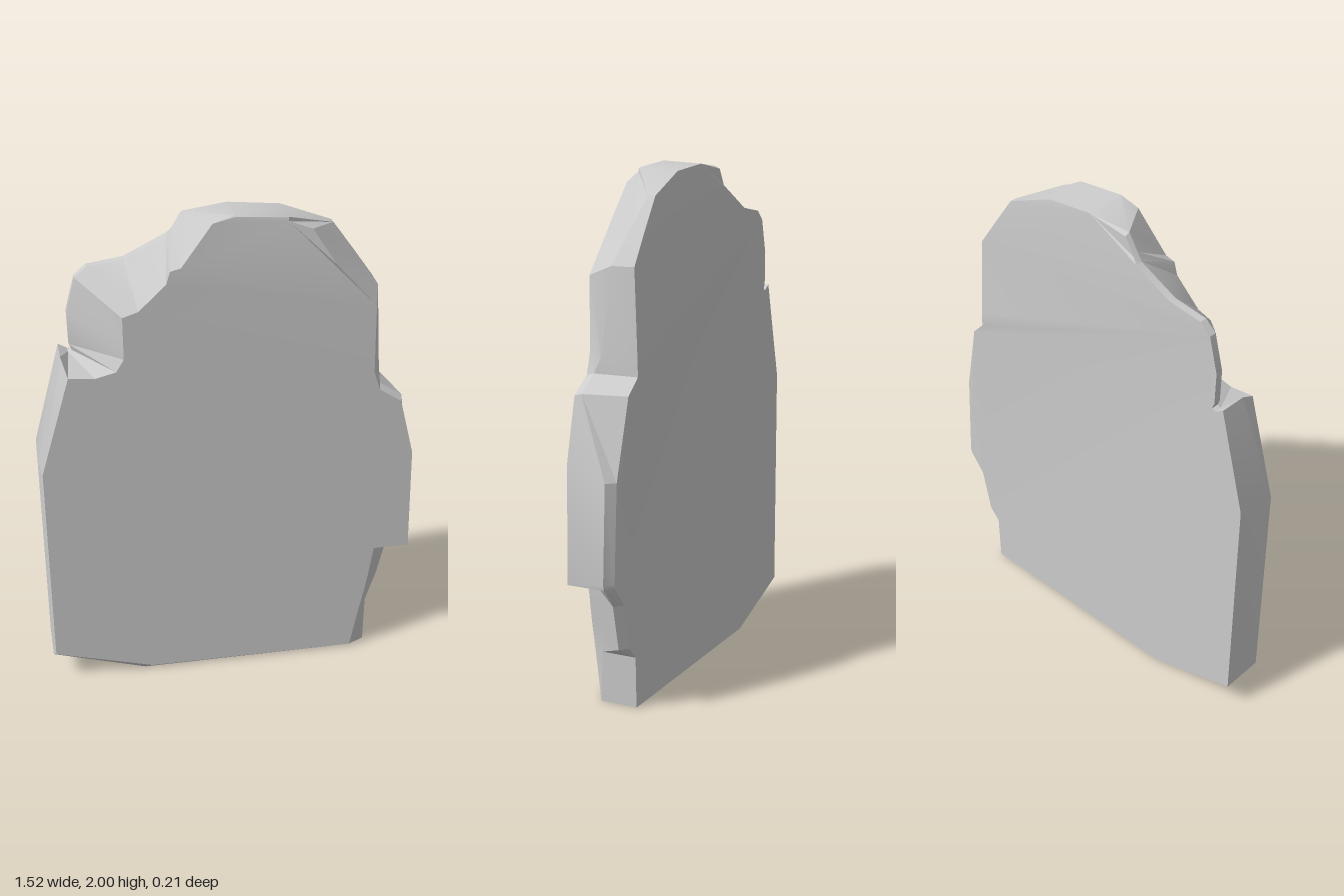
import * as THREE from 'three';
import { toCreasedNormals } from 'three/addons/utils/BufferGeometryUtils.js';

// Rim stations, counter-clockwise from the lower right: front edge x, y, outer rim x, y,
// and the z at which the slope from the front edge meets the outer rim.
const RIM = [
  [0.50, 0.01, 0.57, 0, 0.06],
  [0.535, 0.2, 0.575, 0.2, 0.05],
  // broken step and bulge on the right
  [0.555, 0.3, 0.65, 0.25],
  [0.565, 0.36, 0.69, 0.43],
  [0.585, 0.5, 0.755, 0.51],
  [0.73, 0.5, 0.76, 0.53],
  [0.72, 0.95, 0.74, 0.9],
  [0.66, 1.19, 0.67, 1.2, 0.07],
  [0.57, 1.25, 0.58, 1.26, 0.07],
  [0.545, 1.33, 0.58, 1.32, 0.04],
  // right shoulder
  [0.54, 1.61, 0.57, 1.65, 0],
  [0.38, 1.79, 0.49, 1.765, -0.03],
  [0.29, 1.93, 0.40, 1.89],
  // crest
  [0.2, 1.965, 0.2, 1.98, 0.08],
  [0, 1.995, 0, 2, 0.08],
  [-0.08, 1.975, -0.17, 1.975],
  [-0.2, 1.82, -0.21, 1.91],
  [-0.24, 1.81, -0.23, 1.88],
  [-0.255, 1.76, -0.39, 1.80],
  // chipped block on the left
  [-0.36, 1.66, -0.53, 1.78],
  [-0.42, 1.64, -0.575, 1.74],
  [-0.42, 1.56, -0.612, 1.6],
  [-0.42, 1.47, -0.61, 1.47],
  // notch, left shoulder and foot
  [-0.45, 1.42, -0.60, 1.445],
  [-0.53, 1.40, -0.615, 1.44],
  [-0.63, 1.41, -0.65, 1.46, 0.02],
  [-0.75, 1.0, -0.76, 1.05, 0.08],
  [-0.75, 0.13, -0.76, 0.12, 0.09],
  [-0.35, 0.015, -0.38, 0, 0.09],
];
// Stations where the crown meets the body
const CROWN_START = 10;
const CROWN_END = 20;

// The front leans back towards the crest
const frontPoint = ([x, y]) => [x, y, y > 1.9 ? 0.085 : 0.105];

const rimPoint = ([, , x, y, z = -0.06]) => [x, y, z];

// The back draws in behind the bulge and swells beside the right shoulder
function backPoint([, , x, y]) {
  const swell = 0.02 * Math.exp(-(((x - 0.58) / 0.15) ** 2) - ((y - 1.25) / 0.3) ** 2);
  return [x > 0.6 ? x - 0.03 : x, y > 1.9 ? y - 0.01 : y, (y > 1.9 ? -0.08 : -0.09) - swell];
}

function slabGeometry() {
  const n = RIM.length;
  const points = [frontPoint, rimPoint, backPoint].flatMap((place) => RIM.map(place));
  const index = [];
  const id = (ring, i) => ring * n + (i % n);

  // rim: front edge to outer rim to back edge
  for (let ring = 0; ring < 2; ring++) {
    for (let i = 0; i < n; i++) {
      const a = id(ring, i), b = id(ring, i + 1);
      const c = id(ring + 1, i), d = id(ring + 1, i + 1);
      index.push(a, c, b, b, c, d);
    }
  }

  // broad faces, split so the crown can lean back
  const cap = (ring, from, to) => {
    const ids = [];
    for (let i = from; i <= to; i++) ids.push(id(ring, i));
    const outline = ids.map((k) => new THREE.Vector2(points[k][0], points[k][1]));
    for (const [a, b, c] of THREE.ShapeUtils.triangulateShape(outline, [])) {
      const counterClockwise = THREE.ShapeUtils.area([outline[a], outline[b], outline[c]]) > 0;
      if (counterClockwise === (ring === 0)) index.push(ids[a], ids[b], ids[c]);
      else index.push(ids[a], ids[c], ids[b]);
    }
  };
  for (const ring of [0, 2]) {
    cap(ring, CROWN_START, CROWN_END);
    cap(ring, CROWN_END, CROWN_START + n);
  }

  const geometry = new THREE.BufferGeometry();
  geometry.setAttribute('position', new THREE.Float32BufferAttribute(points.flat(), 3));
  geometry.setIndex(index);
  return toCreasedNormals(geometry, 0.35);
}

export function createModel() {
  const group = new THREE.Group();
  group.name = 'stoneSlab';
  const slab = new THREE.Mesh(slabGeometry(), new THREE.MeshStandardMaterial({ color: 0xcccccc }));
  slab.name = 'brokenStone';
  group.add(slab);
  return group;
}
